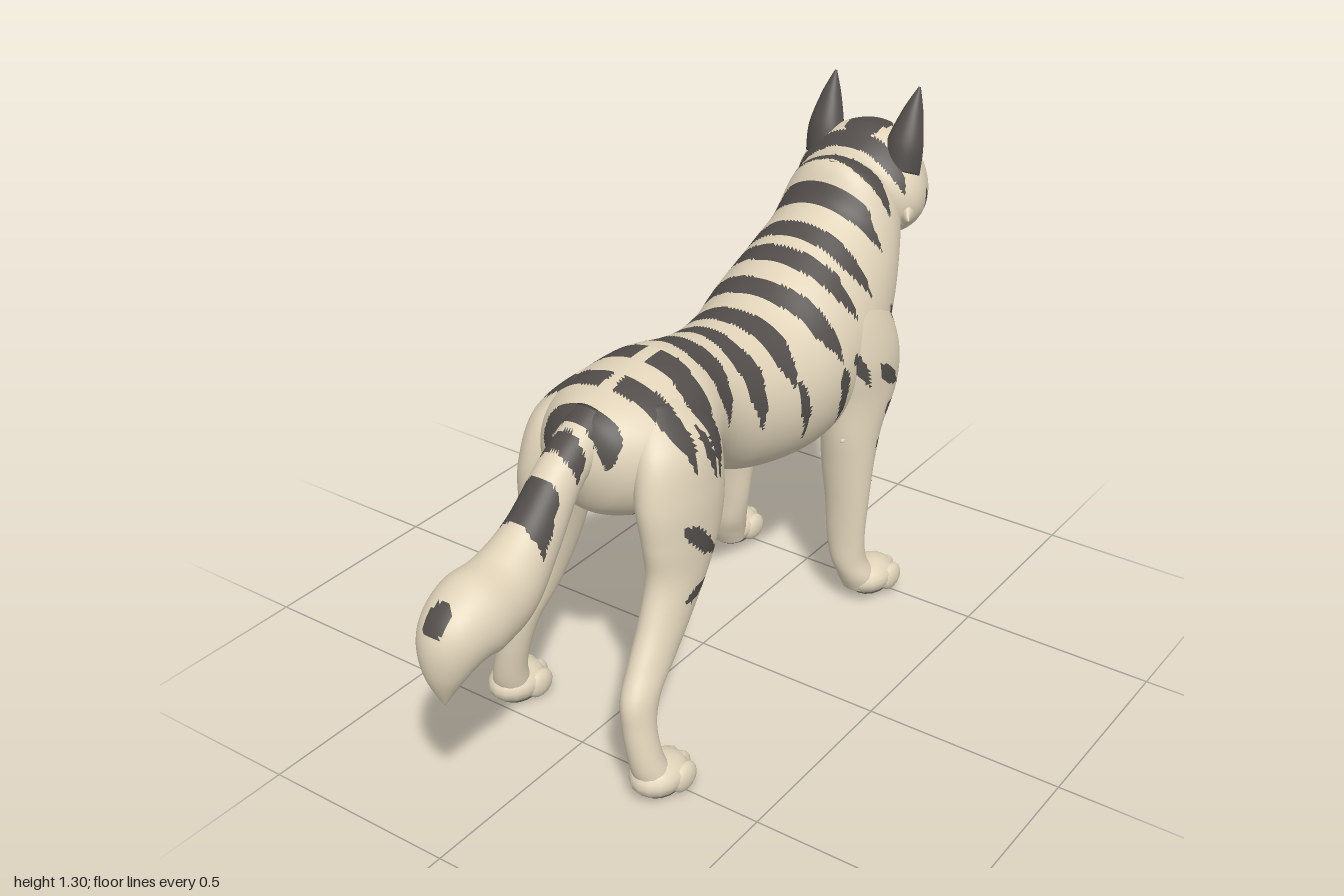
import * as THREE from 'three';

const fur = new THREE.MeshStandardMaterial({ color: 0xe0d3b9 });
fur.name = 'creamFur';
const dark = new THREE.MeshStandardMaterial({ color: 0x524d4a });
dark.name = 'darkStripe';

// Stripes: [start u, v, end u, v, half width]
const sideStripes = [
  [-0.345, 0.95, -0.345, 0.73, 0.028], [-0.292, 0.82, -0.275, 0.69, 0.013], [-0.22, 0.96, -0.255, 0.68, 0.035],
  [-0.11, 0.95, -0.105, 0.72, 0.035], [0.0, 0.93, 0.012, 0.66, 0.032], [0.125, 0.93, 0.125, 0.73, 0.034],
  [0.142, 0.75, 0.167, 0.58, 0.015], [0.23, 0.95, 0.295, 0.74, 0.028], [0.325, 1.02, 0.38, 0.82, 0.026],
  [0.395, 1.06, 0.455, 0.85, 0.024], [0.49, 1.14, 0.54, 0.94, 0.025], [0.59, 1.2, 0.595, 1.01, 0.024],
  [0.665, 1.23, 0.655, 1.05, 0.02], [0.295, 0.73, 0.312, 0.56, 0.018], [0.345, 0.75, 0.395, 0.64, 0.016],
  [0.43, 0.69, 0.535, 0.6, 0.02], [0.55, 0.8, 0.585, 0.73, 0.014],
  [-0.4, 0.62, -0.27, 0.5, 0.021], [-0.41, 0.435, -0.31, 0.465, 0.012],
  [-0.45, 0.9, -0.485, 0.76, 0.02], [-0.52, 0.87, -0.55, 0.74, 0.02], [-0.62, 0.8, -0.69, 0.63, 0.034],
  [0.745, 1.05, 0.747, 0.98, 0.009], [0.8, 1.06, 0.805, 1.01, 0.007],
];
const legStripes = [
  [0.24, 0.57, 0.19, 0.48, 0.012], [0.24, 0.475, 0.15, 0.385, 0.014], [0.235, 0.37, 0.165, 0.275, 0.012],
];
const faceStripes = [[0.03, 1.045, 0.115, 1.09, 0.009], [0.085, 1.05, 0.055, 0.995, 0.009]];

function inStripe([u0, v0, u1, v1, w], u, v) {
  const du = u1 - u0, dv = v1 - v0, len2 = du * du + dv * dv;
  const t = ((u - u0) * du + (v - v0) * dv) / len2;
  if (t < 0 || t > 1) return false;
  const d = Math.abs((u - u0) * dv - (v - v0) * du) / Math.sqrt(len2);
  return d < w * Math.min(1, (1 - t) * 2.2, t * 5 + 0.2) * (1 + 0.12 * Math.sin(v * 70 + u * 30));
}
const onSide = p => sideStripes.some(s => inStripe(s, p.x, p.y));

// Catmull-Rom interpolation of every column of the key sections
function sample(keys, f) {
  const i = Math.min(Math.floor(f), keys.length - 2), t = f - i;
  const k = n => keys[Math.max(0, Math.min(keys.length - 1, n))];
  return keys[i].map((_, c) => {
    const p0 = k(i - 1)[c], p1 = k(i)[c], p2 = k(i + 1)[c], p3 = k(i + 2)[c];
    return p1 + 0.5 * t * (p2 - p0 + t * (2 * p0 - 5 * p1 + 4 * p2 - p3 + t * (3 * (p1 - p2) + p3 - p0)));
  });
}

// Closed skin over sections [x, y, z, tilt in degrees, half depth, half width]
function loft(name, keys, n, m, isDark = () => false, shape = a => [Math.cos(a), Math.sin(a)]) {
  const pos = [], light = [], shade = [], p = new THREE.Vector3();
  for (let i = -1; i <= n + 1; i++) {
    const f = Math.max(0, Math.min(n, i)) / n * (keys.length - 1);
    const [x, y, z, tilt, a, b] = sample(keys, f);
    const r = i < 0 || i > n ? 0 : 1, t = tilt * Math.PI / 180;
    for (let j = 0; j < m; j++) {
      const [c, s] = shape(j / m * Math.PI * 2);
      const u = r * Math.max(a, 0.001) * c, w = r * Math.max(b, 0.001) * s;
      pos.push(x - Math.sin(t) * u, y + Math.cos(t) * u, z + w);
    }
  }
  const tri = (a, b, c, angle) => {
    p.set(0, 0, 0);
    for (const v of [a, b, c]) p.add(new THREE.Vector3().fromArray(pos, v * 3));
    (isDark(p.divideScalar(3), angle) ? shade : light).push(a, b, c);
  };
  for (let i = 0; i < n + 2; i++) for (let j = 0; j < m; j++) {
    const a = i * m + j, b = i * m + (j + 1) % m, angle = (j + 0.5) / m * Math.PI * 2;
    tri(a, b, a + m, angle);
    tri(b, b + m, a + m, angle);
  }
  const g = new THREE.BufferGeometry();
  g.setAttribute('position', new THREE.Float32BufferAttribute(pos, 3));
  g.setIndex([...light, ...shade]);
  g.addGroup(0, light.length, 0);
  g.addGroup(light.length, shade.length, 1);
  g.computeVertexNormals();
  const mesh = new THREE.Mesh(g, [fur, dark]);
  mesh.name = name;
  return mesh;
}

function blob(name, mat, pos, size, rot = [0, 0, 0]) {
  const mesh = new THREE.Mesh(new THREE.SphereGeometry(1, 16, 10), mat);
  mesh.name = name;
  mesh.position.set(...pos);
  mesh.scale.set(...size);
  mesh.rotation.set(...rot);
  return mesh;
}

function paw(name, x, y, z) {
  const g = new THREE.Group();
  g.name = name;
  g.add(blob('pawBody', fur, [x, y + 0.046, z], [0.08, 0.046, 0.064]));
  for (const k of [-1.5, -0.5, 0.5, 1.5]) {
    const back = Math.abs(k) > 1 ? 0.022 : 0;
    g.add(blob('toe', fur, [x + 0.048 - back, y + 0.038, z + k * 0.033], [0.043, 0.036, 0.022]));
  }
  g.add(blob('pad', dark, [x + 0.01, y + 0.006, z], [0.06, 0.007, 0.045]));
  return g;
}

export function createModel() {
  const model = new THREE.Group();
  model.name = 'stripedWolf';

  // Trunk and neck; the hip stripes stop short of the spine
  model.add(loft('torso', [
    [-0.51, 0.755, 0, 0, 0.03, 0.03], [-0.46, 0.745, 0, 0, 0.12, 0.12], [-0.35, 0.74, 0, 0, 0.16, 0.19],
    [-0.2, 0.76, 0, 0, 0.16, 0.175], [-0.08, 0.74, 0, 0, 0.16, 0.147], [0.05, 0.69, 0, 0, 0.19, 0.175],
    [0.2, 0.675, 0, 2, 0.215, 0.205], [0.32, 0.7, 0, 5, 0.245, 0.218], [0.47, 0.755, 0, 11, 0.26, 0.21],
    [0.57, 0.85, 0, 19, 0.22, 0.187], [0.64, 0.99, 0, 28, 0.17, 0.155], [0.7, 1.04, 0, 30, 0.1, 0.11],
  ], 168, 124, p => onSide(p) && !(p.x < -0.17 && Math.abs(p.z) < 0.016)));
  model.add(loft('napeTuft', [
    [0.55, 1.146, 0, 0, 0.002, 0.002], [0.6, 1.125, 0, 0, 0.014, 0.035], [0.66, 1.11, 0, 0, 0.035, 0.07],
  ], 12, 20, onSide));

  // Head and muzzle
  model.add(loft('head', [
    [0.605, 1.05, 0, 0, 0.03, 0.04], [0.625, 1.05, 0, 0, 0.085, 0.12], [0.665, 1.045, 0, 0, 0.127, 0.167],
    [0.72, 1.05, 0, 0, 0.15, 0.178], [0.79, 1.045, 0, 0, 0.145, 0.152], [0.84, 1.03, 0, 0, 0.125, 0.115],
    [0.875, 0.997, 0, 0, 0.1, 0.082], [0.91, 0.98, 0, 0, 0.08, 0.07], [0.95, 0.985, 0, 0, 0.06, 0.057],
    [0.978, 0.988, 0, 0, 0.036, 0.035], [0.985, 0.99, 0, 0, 0.01, 0.01],
  ], 90, 100, p => {
    const z = Math.abs(p.z);
    return onSide(p) || (p.x > 0.78 && faceStripes.some(s => inStripe(s, z, p.y))) ||
      (p.y > 1.12 && inStripe([0.66, 0, 0.85, 0, 0.05], p.x, z));
  }, a => [Math.cos(a), Math.sin(a) * (1 - 0.14 * Math.cos(a))]));
  model.add(blob('nose', dark, [0.973, 1.008, 0], [0.028, 0.036, 0.031]));

  // Tail, from tip to root
  model.add(loft('tail', [
    [-0.945, 0.385, 0, 95, 0.004, 0.004], [-0.935, 0.46, 0, 80, 0.05, 0.05], [-0.905, 0.52, 0, 50, 0.088, 0.08],
    [-0.84, 0.555, 0, 18, 0.1, 0.095], [-0.74, 0.575, 0, 22, 0.092, 0.085], [-0.64, 0.65, 0, 42, 0.072, 0.065],
    [-0.54, 0.755, 0, 42, 0.058, 0.055], [-0.42, 0.825, 0, 20, 0.06, 0.06],
  ], 90, 56, p => onSide(p) || (p.y > 0.57 && Math.hypot(p.x + 0.95, p.z) < 0.03)));

  for (const s of [1, -1]) {
    const side = s > 0 ? 'left' : 'right';

    // Ears, cupped towards the front
    model.add(loft(side + 'Ear', [
      [0.715, 1.09, s * 0.112, 68, 0.055, 0.053], [0.725, 1.16, s * 0.116, 68, 0.047, 0.05],
      [0.75, 1.24, s * 0.12, 68, 0.028, 0.028], [0.77, 1.3, s * 0.123, 68, 0.003, 0.003],
    ], 28, 40, (p, a) => Math.cos(a) > -0.6 || Math.sin(a) * s > 0.65,
    a => [Math.cos(a) * (Math.cos(a) < 0 ? 0.3 : 1), Math.sin(a)]));
    model.add(blob(side + 'Brow', fur, [0.843, 1.094, s * 0.055], [0.02, 0.014, 0.042], [-0.35 * s, 0.6 * s, 0]));
    model.add(blob(side + 'Eye', dark, [0.859, 1.072, s * 0.06], [0.01, 0.006, 0.024], [-0.35 * s, 0.6 * s, 0]));
    model.add(loft(side + 'CheekTuft', [
      [0.64, 0.995, s * 0.18, 0, 0.003, 0.003], [0.67, 1.0, s * 0.155, 0, 0.03, 0.02],
      [0.72, 1.01, s * 0.135, 0, 0.055, 0.035],
    ], 14, 20));

    // Front leg
    const outer = a => Math.sin(a) * s > -0.3;
    model.add(loft(side + 'FrontLeg', [
      [0.42, 0.92, 0.11, 0.04, 0.03], [0.44, 0.83, 0.14, 0.115, 0.06], [0.455, 0.71, 0.168, 0.14, 0.07],
      [0.46, 0.6, 0.173, 0.128, 0.07], [0.422, 0.5, 0.168, 0.088, 0.073], [0.405, 0.41, 0.17, 0.063, 0.07],
      [0.395, 0.3, 0.178, 0.046, 0.06], [0.39, 0.2, 0.182, 0.04, 0.053], [0.395, 0.13, 0.19, 0.045, 0.048],
      [0.41, 0.08, 0.205, 0.048, 0.05], [0.42, 0.04, 0.21, 0.04, 0.045],
    ].map(([x, y, z, a, b]) => [x, y, z * s, -90, a, b]), 100, 68, (p, a) => outer(a) &&
      (onSide(p) || (Math.cos(a) > 0.15 && legStripes.some(l => inStripe(l, p.z * s, p.y))))));
    model.add(loft(side + 'ElbowTuft', [
      [0.335, 0.5, s * 0.19, 0, 0.003, 0.003], [0.375, 0.525, s * 0.185, 0, 0.035, 0.035],
      [0.43, 0.54, s * 0.18, 0, 0.05, 0.04],
    ], 12, 20));
    model.add(paw(side + 'FrontPaw', 0.455, 0.015, s * 0.22));

    // Hind leg; the right one stands further forward
    const step = y => s > 0 ? 0 : 0.09 * THREE.MathUtils.smoothstep(0.62 - y, 0, 0.4);
    model.add(loft(side + 'HindLeg', [
      [-0.3, 0.87, 0.1, 0.05, 0.03], [-0.31, 0.79, 0.145, 0.122, 0.066], [-0.325, 0.68, 0.165, 0.14, 0.073],
      [-0.335, 0.58, 0.178, 0.128, 0.066], [-0.36, 0.49, 0.185, 0.1, 0.058], [-0.415, 0.4, 0.192, 0.085, 0.05],
      [-0.48, 0.32, 0.2, 0.074, 0.044], [-0.54, 0.255, 0.21, 0.058, 0.04], [-0.562, 0.19, 0.22, 0.044, 0.038],
      [-0.565, 0.12, 0.235, 0.042, 0.04], [-0.555, 0.07, 0.245, 0.046, 0.045], [-0.545, 0.035, 0.25, 0.04, 0.045],
    ].map(([x, y, z, a, b]) => [x + step(y), y, z * s, -90, a, b]), 100, 68, (p, a) => outer(a) && onSide(p)));
    model.add(paw(side + 'HindPaw', -0.53 + step(0), 0.001, s * 0.25));
  }
  return model;
}
